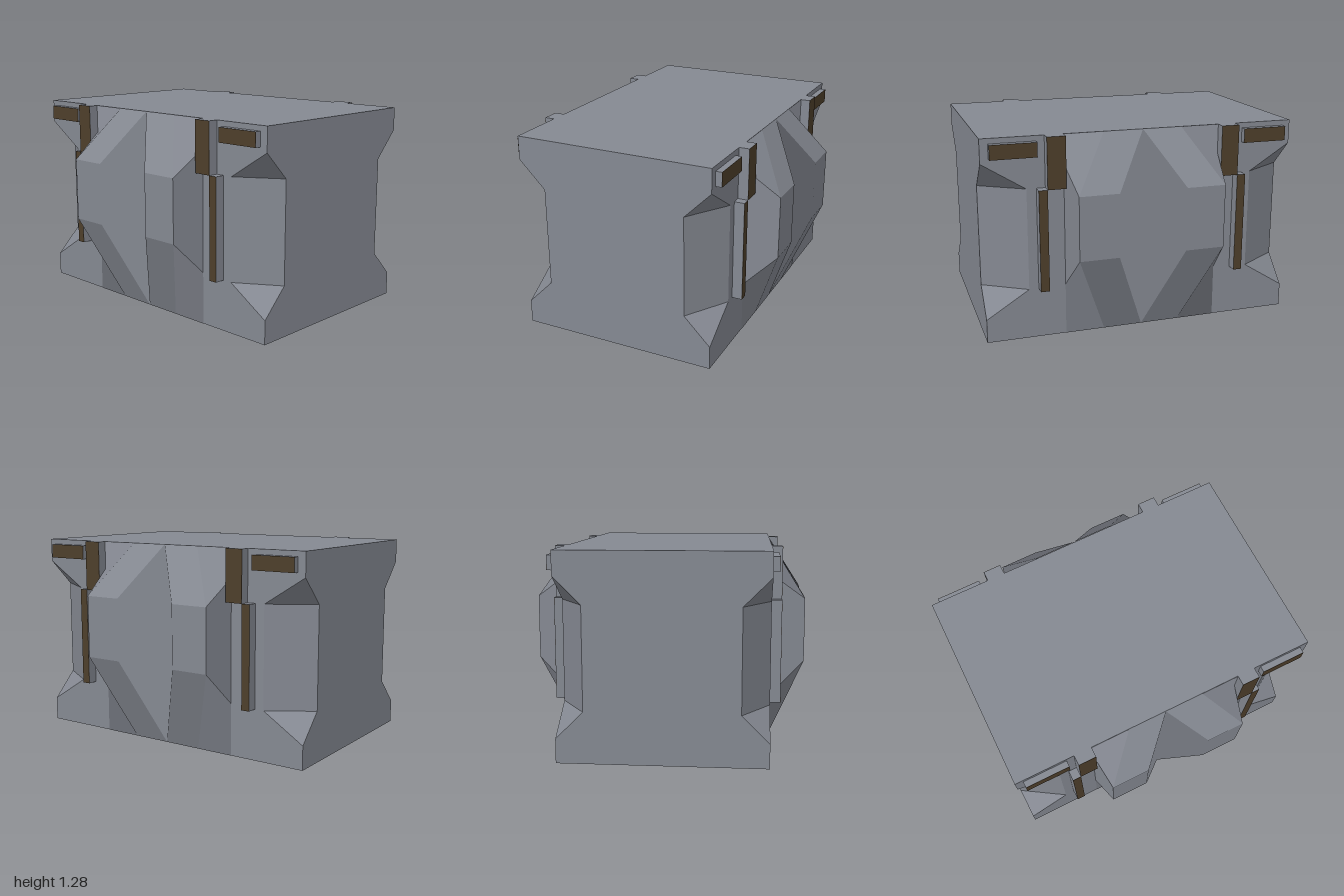
import * as THREE from 'three';

const W = 0.64, H = 1.28, D = 1;
const steel = new THREE.MeshStandardMaterial({ color: 0x858992 });
const brown = new THREE.MeshStandardMaterial({ color: 0x4e3f2b });

const faceNormal = (a, b, c) => b.clone().sub(a).cross(c.clone().sub(a));

function bufferGeometry(pos, nor) {
  const g = new THREE.BufferGeometry();
  g.setAttribute('position', new THREE.Float32BufferAttribute(pos, 3));
  g.setAttribute('normal', new THREE.Float32BufferAttribute(nor, 3));
  return g;
}

// Eight-sided ring whose corners are cut back by cx and cz (counter-clockwise from above)
function ring(y, cx, cz) {
  const x = W - cx, z = D - cz;
  return [[W, z], [W, -z], [x, -D], [-x, -D], [-W, -z], [-W, z], [-x, D], [x, D]]
    .map(([px, pz]) => new THREE.Vector3(px, y, pz));
}

// Crate body: box with a tapered notch in each vertical corner
function bodyGeometry() {
  const rings = [
    ring(0, 0, 0), ring(0.15, 0, 0), ring(0.32, 0.17, 0.27),
    ring(0.96, 0.17, 0.27), ring(1.13, 0, 0), ring(H, 0, 0),
  ];
  const pos = [], nor = [];
  const tri = (a, b, c) => {
    const n = faceNormal(a, b, c);
    if (n.length() < 1e-7) return;
    n.normalize();
    for (const p of [a, b, c]) {
      pos.push(p.x, p.y, p.z);
      nor.push(n.x, n.y, n.z);
    }
  };
  for (let r = 0; r < rings.length - 1; r++) {
    const lo = rings[r], hi = rings[r + 1];
    for (let i = 0; i < 8; i++) {
      const j = (i + 1) % 8;
      tri(lo[i], lo[j], hi[j]);
      tri(lo[i], hi[j], hi[i]);
    }
  }
  const bottom = rings[0], top = rings[rings.length - 1];
  for (let i = 1; i < 7; i++) {
    tri(top[0], top[i], top[i + 1]);
    tri(bottom[0], bottom[i + 1], bottom[i]);
  }
  return bufferGeometry(pos, nor);
}

// Pair of faceted bulges on one side wall; each bent panel is shaded as a single facet
function podGeometry(sx) {
  const pos = [], nor = [];
  const panel = (sz, points) => {
    const p = points.map(([x, y, z]) => new THREE.Vector3(sx * x, y, sz * z));
    const sum = new THREE.Vector3();
    for (let i = 1; i < p.length - 1; i++) sum.add(faceNormal(p[0], p[i], p[i + 1]));
    const flip = sum.x * sx < 0;
    sum.normalize().multiplyScalar(flip ? -1 : 1);
    for (let i = 1; i < p.length - 1; i++) {
      for (const v of flip ? [p[0], p[i + 1], p[i]] : [p[0], p[i], p[i + 1]]) {
        pos.push(v.x, v.y, v.z);
        nor.push(sum.x, sum.y, sum.z);
      }
    }
  };
  const B = W + 0.002, O = 0.855, LO = 0.545, HI = 0.945, IN = 0.215, OUT = 0.465;
  for (const sz of [1, -1]) {
    // outer face and end
    panel(sz, [[O, LO, IN], [O, LO, OUT], [O, HI, OUT], [O, HI, IN]]);
    panel(sz, [[O, LO, OUT], [B, 0.33, 0.5], [B, 1.1, 0.5], [O, HI, OUT]]);
    // upper and lower slopes, each with a bevelled corner
    for (const [edge, mid, y] of [[0, 0.33, LO], [H, 1.1, HI]]) {
      panel(sz, [[B, edge, 0], [B, edge, 0.25], [O, y, OUT], [O, y, IN]]);
      panel(sz, [[B, edge, 0.25], [B, edge, 0.5], [B, mid, 0.5], [O, y, OUT]]);
    }
  }
  // valley between the two bulges
  panel(1, [[B, 0, 0], [O, LO, IN], [O, HI, IN], [B, H, 0], [O, HI, -IN], [O, LO, -IN]]);
  return bufferGeometry(pos, nor);
}

// Grey bar on a side wall with a coloured outer face
function bar(name, sx, sz, [x, y0, y1, z0, z1]) {
  const g = new THREE.Group();
  g.name = name;
  const add = (part, a, b, mat) => {
    const m = new THREE.Mesh(new THREE.BoxGeometry(b - a, y1 - y0, z1 - z0), mat);
    m.position.set(sx * (a + b) / 2, (y0 + y1) / 2, sz * (z0 + z1) / 2);
    m.name = part;
    g.add(m);
  };
  add('barBase', W - 0.01, x - 0.001, steel);
  add('barFace', x - 0.001, x, brown);
  return g;
}

export function createModel() {
  const model = new THREE.Group();
  model.name = 'crate';

  const body = new THREE.Mesh(bodyGeometry(), steel);
  body.name = 'body';
  model.add(body);

  // Side details, mirrored left to right and front to back
  for (const sx of [1, -1]) {
    const side = sx > 0 ? 'left' : 'right';
    const pods = new THREE.Mesh(podGeometry(sx), steel);
    pods.name = side + 'Pods';
    model.add(pods);
    for (const sz of [1, -1]) {
      const corner = side + (sz > 0 ? 'Front' : 'Back');
      model.add(
        bar(corner + 'Bracket', sx, sz, [0.705, 0.96, H, 0.5, 0.615]),
        bar(corner + 'UprightStrip', sx, sz, [0.705, 0.32, 0.96, 0.615, 0.67]),
        bar(corner + 'TopStrip', sx, sz, [0.68, 1.157, 1.247, 0.665, 0.95]),
      );
    }
  }
  return model;
}
